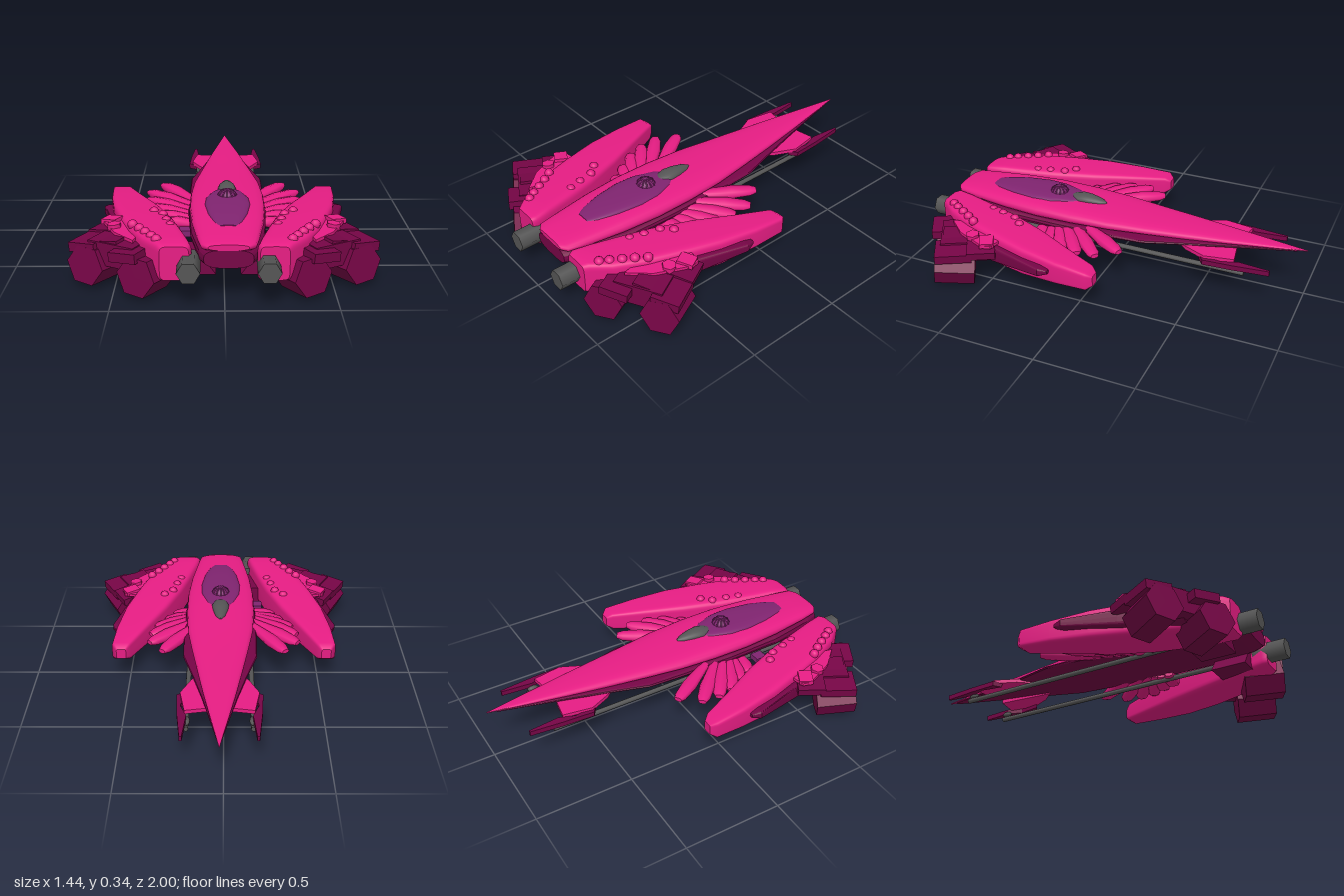
import * as THREE from 'three';

const mat = (name, color, flat = false) => {
  const m = new THREE.MeshStandardMaterial({ color, flatShading: flat });
  m.name = name;
  return m;
};
const CX = 0.018; // centre line of the hull

// Closed body from rounded cross-sections [z, xMin, xMax, yMin, yMax], ordered by z
function loft(sections, power, n = 24) {
  const pos = [], idx = [];
  const bend = v => Math.sign(v) * Math.abs(v) ** power;
  const ring = ([z, x0, x1, y0, y1]) => {
    for (let j = 0; j < n; j++) {
      const a = (j / n) * Math.PI * 2;
      pos.push((x0 + x1) / 2 + bend(Math.cos(a)) * (x1 - x0) / 2,
        (y0 + y1) / 2 + bend(Math.sin(a)) * (y1 - y0) / 2, z);
    }
  };
  sections.forEach(ring);
  for (let i = 0; i < sections.length - 1; i++) {
    for (let j = 0; j < n; j++) {
      const k = (j + 1) % n, a = i * n + j, b = i * n + k;
      idx.push(a, b, b + n, a, b + n, a + n);
    }
  }
  // End caps with their own vertices
  for (const end of [0, 1]) {
    const start = pos.length / 3;
    ring(sections[end ? sections.length - 1 : 0]);
    for (let j = 1; j < n - 1; j++) {
      idx.push(start, start + (end ? j : j + 1), start + (end ? j + 1 : j));
    }
  }
  const g = new THREE.BufferGeometry();
  g.setAttribute('position', new THREE.Float32BufferAttribute(pos, 3));
  g.setIndex(idx);
  g.computeVertexNormals();
  return g;
}

// Flat plate from an outline of [x, z] points
function plate(points, y, thickness) {
  const shape = new THREE.Shape(points.map(([x, z]) => new THREE.Vector2(x, -z)));
  const g = new THREE.ExtrudeGeometry(shape, { depth: thickness, bevelEnabled: false });
  return g.rotateX(-Math.PI / 2).translate(0, y, 0);
}

// Cylinder along z
const rod = (r, length, sides) =>
  new THREE.CylinderGeometry(r, r, length, sides).rotateY(Math.PI / 6).rotateX(Math.PI / 2);

export function createModel() {
  const root = new THREE.Group();
  root.name = 'starship';
  const pink = mat('hot pink', 0xf8208e);
  const dark = mat('dark magenta', 0x760546, true);
  const purple = mat('purple', 0x802470);
  const grey = mat('grey', 0x555555);

  const add = (name, geometry, material, p = [0, 0, 0], r = [0, 0, 0]) => {
    const m = new THREE.Mesh(geometry, material);
    m.name = name;
    m.position.set(...p);
    m.rotation.set(...r, 'YXZ');
    root.add(m);
    return m;
  };
  const centred = rows => rows.map(([z, w, y0, y1]) => [z, CX - w, CX + w, y0, y1]);

  // Hull
  add('upperHull', loft(centred([
    [-1, 0.002, 0.256, 0.262], [-0.6, 0.075, 0.235, 0.272], [-0.4, 0.108, 0.225, 0.277],
    [-0.2, 0.14, 0.22, 0.28], [0, 0.17, 0.215, 0.287], [0.2, 0.183, 0.21, 0.295],
    [0.4, 0.183, 0.205, 0.3], [0.6, 0.167, 0.21, 0.295], [0.8, 0.138, 0.22, 0.285],
    [0.89, 0.122, 0.232, 0.278], [0.915, 0.09, 0.243, 0.27]]), 0.75), pink);
  add('lowerHull', loft(centred([
    [-0.95, 0.01, 0.248, 0.257], [-0.6, 0.083, 0.222, 0.245], [-0.4, 0.133, 0.212, 0.24],
    [-0.2, 0.188, 0.203, 0.235], [0, 0.192, 0.19, 0.235], [0.3, 0.192, 0.17, 0.235],
    [0.6, 0.175, 0.155, 0.235], [0.85, 0.132, 0.15, 0.245], [0.912, 0.11, 0.16, 0.245]]), 0.7), dark);

  // Canopy with its dome and forward pod
  add('canopy', loft(centred([
    [0.17, 0.02, 0.26, 0.296], [0.25, 0.075, 0.26, 0.305], [0.35, 0.105, 0.26, 0.311],
    [0.45, 0.11, 0.26, 0.312], [0.58, 0.092, 0.26, 0.309], [0.68, 0.065, 0.26, 0.3],
    [0.725, 0.045, 0.26, 0.292]]), 0.7), purple);
  add('dome', new THREE.SphereGeometry(0.047, 24, 8, 0, Math.PI * 2, 0, Math.PI / 2),
    purple, [CX, 0.3, 0.345]).scale.y = 0.85;
  for (let i = 0; i < 6; i++) {
    add('domeRib', new THREE.TorusGeometry(0.046, 0.004, 5, 12, Math.PI), purple,
      [CX, 0.3, 0.345], [0, i * Math.PI / 6, 0]).scale.y = 0.85;
  }
  add('forwardPod', loft(centred([
    [0.07, 0.006, 0.28, 0.295], [0.1, 0.025, 0.27, 0.308], [0.16, 0.04, 0.265, 0.32],
    [0.21, 0.046, 0.265, 0.321], [0.25, 0.035, 0.27, 0.312], [0.265, 0.02, 0.28, 0.305]]), 1), grey);
  add('sideLight', new THREE.BoxGeometry(0.06, 0.03, 0.06), purple, [-0.185, 0.16, 0.46]);

  for (const s of [1, -1]) {
    const mirrored = rows => rows.map(([z, a, b, y0, y1]) =>
      [z, Math.min(s * a, s * b), Math.max(s * a, s * b), y0, y1]);
    const outline = pts => pts.map(([x, z]) => [CX + s * x, z]);

    // Swept side pontoon
    add('pontoon', loft(mirrored([
      [-0.095, 0.51, 0.56, 0.145, 0.2], [-0.065, 0.485, 0.585, 0.125, 0.223],
      [0.1, 0.41, 0.575, 0.11, 0.235], [0.3, 0.315, 0.545, 0.09, 0.25],
      [0.5, 0.24, 0.49, 0.08, 0.26], [0.65, 0.198, 0.44, 0.08, 0.265],
      [0.8, 0.16, 0.37, 0.085, 0.27], [0.88, 0.143, 0.305, 0.09, 0.268],
      [0.905, 0.155, 0.285, 0.1, 0.258]]), 0.32, 32), pink);
    add('outerFlap', loft(mirrored([
      [0.135, 0.56, 0.59, 0.172, 0.19], [0.18, 0.53, 0.605, 0.155, 0.2],
      [0.45, 0.45, 0.535, 0.12, 0.21], [0.75, 0.37, 0.46, 0.1, 0.22]]), 0.4), dark);

    // Sloped keel joining pontoon and hull
    const keel = new THREE.Shape([[0.055, 0.092], [0.25, 0.092], [0.25, 0.18], [0.12, 0.18]]
      .map(([x, y]) => new THREE.Vector2(s * x + CX, y)));
    add('keel', new THREE.ExtrudeGeometry(keel, { depth: 0.18, bevelEnabled: false }), dark, [0, 0, 0.64]);

    // Engine and long underside rod
    add('engine', rod(0.052, 0.17, 6), grey, [CX + s * 0.175, 0.172, 0.915]);
    add('undersideRod', rod(0.013, 1.6, 8), grey, [CX + s * 0.158, 0.155, 0.07]);
    add('rodTip', new THREE.SphereGeometry(0.015, 10, 8), grey,
      [CX + s * 0.153, 0.18, -0.7]).scale.z = 2;

    // Nose winglet
    add('wingletStrut', plate(outline([
      [0.05, -0.66], [0.165, -0.68], [0.19, -0.53], [0.14, -0.42], [0.08, -0.35]]), 0.205, 0.02), pink);
    add('wingletBlade', plate(outline([
      [0.17, -0.86], [0.182, -0.86], [0.2, -0.68], [0.208, -0.53], [0.165, -0.5],
      [0.185, -0.62], [0.155, -0.7]]), 0.185, 0.026), dark);

    // Fan of feathers between pontoon and hull
    const feathers = [[0.32, -0.13, 0.15, 0.14], [0.39, -0.03, 0.15, 0.2], [0.39, 0.07, 0.15, 0.25],
      [0.37, 0.16, 0.15, 0.29], [0.32, 0.25, 0.15, 0.32], [0.28, 0.33, 0.14, 0.37]];
    feathers.forEach(([x0, z0, x1, z1], i) => {
      const length = Math.hypot(x1 - x0, z1 - z0);
      const rows = [[0, 0.02, 0.012], [0.1, 0.033, 0.02], [0.4, 0.04, 0.026], [1, 0.022, 0.018]];
      add('feather', loft(rows.map(([t, w, h]) => [t * length, -w, w, -h, h]), 0.8, 8), pink,
        [s * x0, 0.21 - i * 0.008, z0], [0, Math.atan2(s * (x1 - x0), z1 - z0), 0]);
    });

    // Rows of studs on the pontoon
    const studs = [[0.335, 0.42], [0.29, 0.47], [0.27, 0.55], [0.25, 0.62],
      [0.42, 0.64], [0.385, 0.69], [0.355, 0.74], [0.325, 0.79], [0.3, 0.83]];
    studs.forEach(([x, z], i) => add('stud', new THREE.SphereGeometry(0.024, 10, 8), pink,
      [s * x, i < 4 ? 0.25 : 0.264, z]));

    // Hexagonal thrusters, pitched up towards the front, with cover plates
    const turn = s * 0.5;
    add('thrusterMount', new THREE.BoxGeometry(0.24, 0.11, 0.26), dark, [s * 0.45, 0.165, 0.66], [0, turn, 0]);
    for (const [x, z] of [[0.585, 0.66], [0.345, 0.8]]) {
      add('thruster', rod(0.098, 0.2, 6), dark, [s * x, 0.097, z], [-0.1, turn, s * 0.08]);
    }
    for (const [x, y, z] of [[0.605, 0.185, 0.65], [0.41, 0.19, 0.79]]) {
      add('coverPlate', new THREE.BoxGeometry(0.14, 0.045, 0.18), dark, [s * x, y, z], [0, turn, -s * 0.1]);
    }
    add('sidePlate', new THREE.BoxGeometry(0.15, 0.04, 0.14), dark, [s * 0.535, 0.2, 0.53], [0, turn, -s * 0.15]);
    add('midPlate', new THREE.BoxGeometry(0.12, 0.04, 0.14), dark, [s * 0.5, 0.205, 0.69], [0, turn, -s * 0.15]);

    // Pink deck beside the pontoon with its panel and bolt
    add('deck', plate([[0.46, 0.44], [0.565, 0.46], [0.575, 0.5], [0.5, 0.67], [0.41, 0.77], [0.38, 0.65]]
      .map(([x, z]) => [s * x, z]), 0.222, 0.015), pink);
    add('pinkPanel', new THREE.BoxGeometry(0.08, 0.025, 0.07), pink, [s * 0.53, 0.237, 0.5], [0, turn, -s * 0.1]);
    add('pinkBolt', new THREE.CylinderGeometry(0.034, 0.034, 0.03, 6), pink, [s * 0.51, 0.238, 0.59], [0, 0, -s * 0.1]);
  }
  return root;
}
